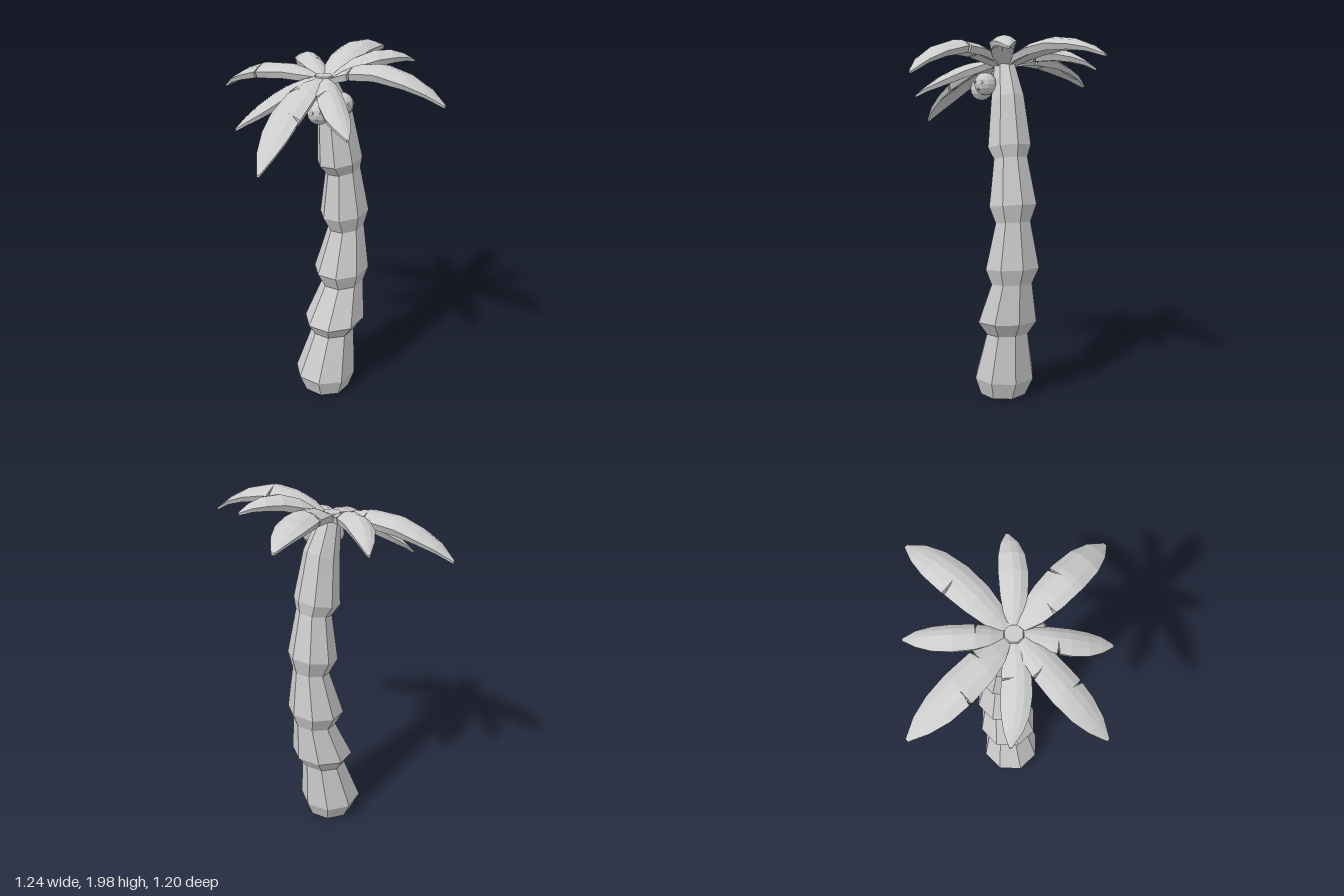
import * as THREE from 'three';

const grey = new THREE.MeshStandardMaterial({ color: 0xcccccc });
grey.name = 'plain grey';

// Faceted closed solid through equal-length loops of points (counterclockwise seen from the far end)
function loft(loops) {
  const n = loops[0].length, last = loops.length - 1, index = [];
  for (let i = 0; i < last; i++) {
    for (let j = 0; j < n; j++) {
      const k = (j + 1) % n, a = i * n + j, b = i * n + k;
      index.push(a, b, b + n, a, b + n, a + n);
    }
  }
  for (let j = 1; j < n - 1; j++) {
    index.push(0, j + 1, j, last * n, last * n + j, last * n + j + 1);
  }
  const geo = new THREE.BufferGeometry();
  geo.setAttribute('position', new THREE.Float32BufferAttribute(loops.flat(2), 3));
  geo.setIndex(index);
  return faceted(geo);
}

function faceted(geo) {
  const flat = geo.index ? geo.toNonIndexed() : geo;
  flat.computeVertexNormals();
  return flat;
}

function part(name, geo) {
  const mesh = new THREE.Mesh(geo, grey);
  mesh.name = name;
  return mesh;
}

// Trunk rings: y, centre x, centre z, radius, tilt
const RINGS = [
  [0, 0, 0.025, 0.135, 0], [0.1, -0.005, 0.02, 0.175, 0],
  [0.37, 0.033, -0.015, 0.122, 0.05], [0.445, 0.04, -0.02, 0.172, 0.08],
  [0.67, 0.078, -0.062, 0.118, 0.1], [0.755, 0.07, -0.062, 0.155, 0.1],
  [1.01, 0.092, -0.075, 0.1, 0.14], [1.1, 0.082, -0.07, 0.135, 0.15],
  [1.35, 0.075, -0.053, 0.095, 0.18], [1.41, 0.06, -0.04, 0.122, 0.19],
  [1.65, 0.037, -0.018, 0.093, 0.4], [1.85, -0.005, 0.02, 0.055, 0.25],
];

function trunk() {
  return part('trunk', loft(RINGS.map(([y, cx, cz, r, tilt]) =>
    Array.from({ length: 8 }, (_, i) => {
      const a = i * Math.PI / 4, dx = r * Math.cos(a), dz = -r * Math.sin(a);
      return [cx + dx, y + tilt * (dx - dz) * 0.8, cz + dz];
    }))));
}

// Fronds: tip x, y, z; middle height; half width; sideways bow; slits as [position, side]
const FRONDS = [
  [0.615, 1.805, 0.23, 1.96, 0.09, 0.015, [[0.22, 1], [0.45, -1]]],
  [0.2, 1.68, 0.45, 1.82, 0.068, 0.02, [[0.36, 1]]],
  [-0.19, 1.53, 0.595, 1.78, 0.086, 0.012, [[0.27, 1], [0.55, -1]]],
  [-0.43, 1.61, 0.2, 1.79, 0.072, -0.02, [[0.36, 1]]],
  [-0.615, 1.725, -0.22, 1.89, 0.09, -0.02, [[0.25, 1], [0.52, -1]]],
  [-0.22, 1.82, -0.425, 1.93, 0.066, -0.03, [[0.27, 1]]],
  [0.187, 1.885, -0.6, 1.975, 0.088, 0, [[0.48, -1]]],
  [0.415, 1.92, -0.19, 1.98, 0.068, 0.015, []],
];
const HUB = [-0.01, 1.86, 0.03];

// Outline of a frond: position along it, width fraction
const OUTLINE = [[0, 0.28], [0.12, 0.7], [0.28, 0.92], [0.5, 1], [0.7, 0.9], [0.86, 0.6], [1, 0.1]];

function widthAt(t) {
  const i = Math.max(1, OUTLINE.findIndex(([s]) => s >= t));
  const [t0, w0] = OUTLINE[i - 1], [t1, w1] = OUTLINE[i];
  return w0 + (w1 - w0) * (t - t0) / (t1 - t0);
}

function frond([tx, ty, tz, midY, half, bow, slits]) {
  const len = Math.hypot(tx - HUB[0], tz - HUB[2]);
  const dx = (tx - HUB[0]) / len, dz = (tz - HUB[2]) / len;
  const stations = OUTLINE.map(([t]) => ({ t, left: 1, right: 1 }));
  for (const [t, side] of slits) {
    stations.push({ t: t - 0.012, left: 1, right: 1 }, { t: t + 0.012, left: 1, right: 1 });
    stations.push({ t, left: side < 0 ? 0.55 : 1, right: side > 0 ? 0.55 : 1 });
  }
  stations.sort((a, b) => a.t - b.t);

  return part('frond', loft(stations.map(({ t, left, right }) => {
    const w = half * widthAt(t);
    const along = 0.045 + (len - 0.045) * t;
    const y = HUB[1] * (1 - t) * (1 - 2 * t) + midY * 4 * t * (1 - t) + ty * t * (2 * t - 1);
    const thick = 0.012 + 0.033 * Math.sin(Math.PI * (0.2 + 0.8 * t));
    const point = (u, drop) => {
      const across = u * w * (u < 0 ? left : right);
      const s = across + bow * 4 * t * (1 - t);
      const dome = 0.035 * (across / half) ** 2;
      return [HUB[0] + dx * along - dz * s, y - dome - drop, HUB[2] + dz * along + dx * s];
    };
    return [
      ...[-1, -0.5, 0, 0.5, 1].map((u) => point(u, 0)),
      ...[0.85, 0, -0.85].map((u) => point(u, thick)),
    ];
  })));
}

// Coconut with three small eyes on its outward side
function coconut(x, y, z, turn) {
  const nut = new THREE.Group();
  nut.name = 'coconut';
  nut.add(part('shell', faceted(new THREE.SphereGeometry(0.06, 12, 8))));
  for (const [ex, ey] of [[-0.022, 0.008], [0.022, 0.008], [0, -0.027]]) {
    const eye = part('eye', faceted(new THREE.CylinderGeometry(0.008, 0.009, 0.008, 8).rotateX(Math.PI / 2)));
    const dir = new THREE.Vector3(ex, ey, 0.05).normalize();
    eye.position.copy(dir).multiplyScalar(0.058);
    eye.quaternion.setFromUnitVectors(new THREE.Vector3(0, 0, 1), dir);
    nut.add(eye);
  }
  nut.position.set(x, y, z);
  nut.rotation.y = turn;
  return nut;
}

export function createModel() {
  const palm = new THREE.Group();
  palm.name = 'palmTree';
  palm.add(trunk());

  // Crown
  const crown = new THREE.Group();
  crown.name = 'crown';
  FRONDS.forEach((f) => crown.add(frond(f)));
  const hub = part('hub', faceted(new THREE.CylinderGeometry(0.045, 0.055, 0.05, 8)));
  hub.position.set(HUB[0], 1.842, HUB[2]);
  crown.add(hub);
  palm.add(crown);

  // Coconuts
  palm.add(coconut(-0.005, 1.71, 0.155, 0), coconut(0.095, 1.74, 0.085, 1.25));
  return palm;
}
